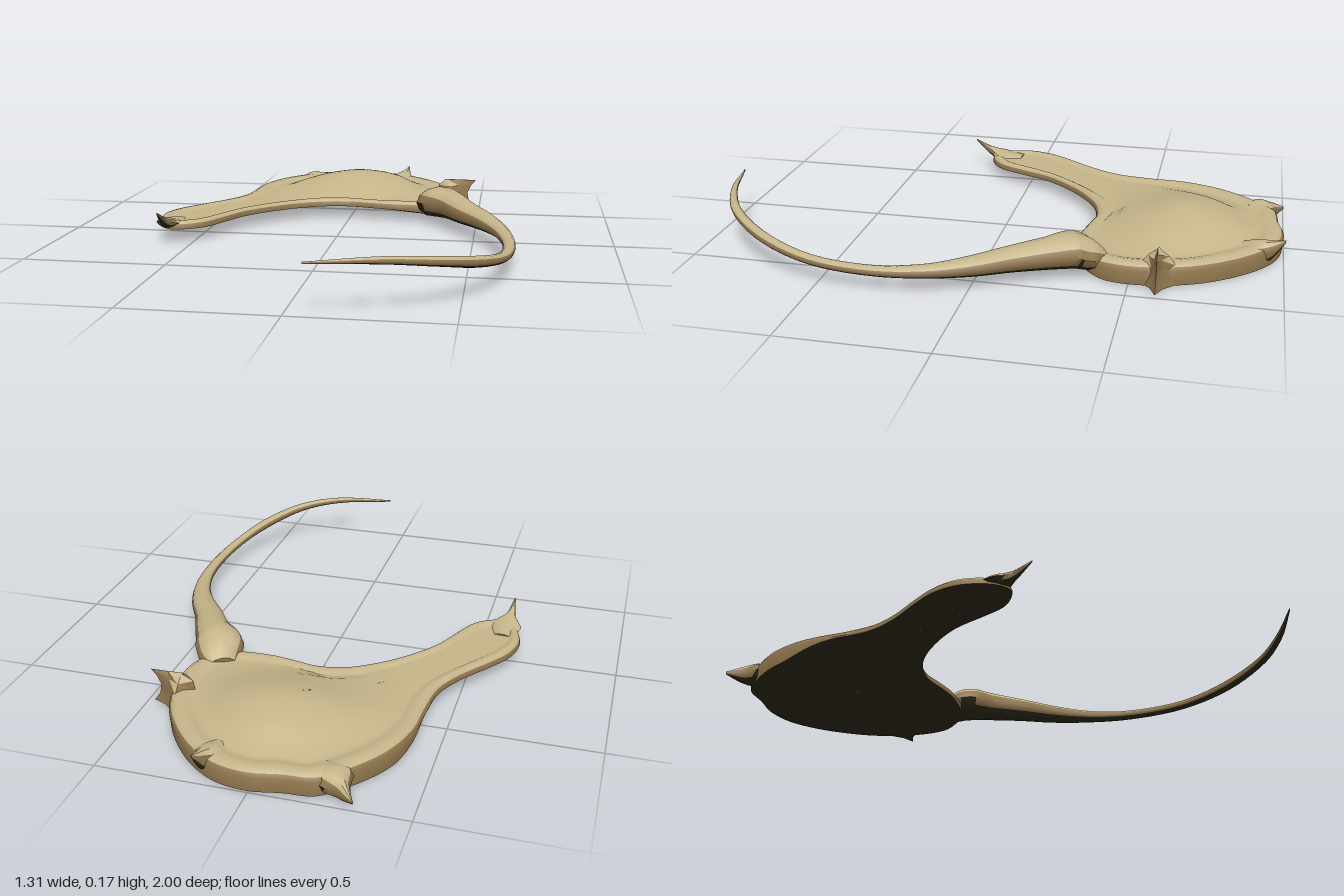
import * as THREE from 'three';
import { toCreasedNormals } from 'three/addons/utils/BufferGeometryUtils.js';

const V = (x, y, z) => new THREE.Vector3(x, y, z);

// Skin over a list of closed rings, all with the same number of points.
// Faces are grouped into top (0), flank (1) and underside (2) for colouring.
function skin(rings, crease) {
  const n = rings[0].length, points = rings.flat();
  const groups = [[], [], []];
  const face = new THREE.Triangle(), normal = V(0, 0, 0);
  const addFace = (a, b, c) => {
    face.set(points[a], points[b], points[c]);
    if (face.getArea() < 1e-10) return;
    const up = face.getNormal(normal).y;
    groups[up > 0.5 ? 0 : up > -0.35 ? 1 : 2].push(a, b, c);
  };
  for (let k = 0; k < rings.length - 1; k++) {
    for (let i = 0; i < n; i++) {
      const j = (i + 1) % n, a = k * n, b = a + n;
      addFace(a + i, a + j, b + i);
      addFace(a + j, b + j, b + i);
    }
  }
  const geo = new THREE.BufferGeometry().setFromPoints(points);
  geo.setIndex(groups.flat());
  let start = 0;
  groups.forEach((g, m) => {
    geo.addGroup(start, g.length, m);
    start += g.length;
  });
  // Enlarged while creasing so that small details are not welded together
  geo.scale(100, 100, 100);
  const out = toCreasedNormals(geo, crease);
  out.scale(0.01, 0.01, 0.01);
  return out;
}

// Loft through stations [x, z, half width, low y, high y]
function loft(stations, sides, steps, crease) {
  const path = new THREE.CatmullRomCurve3(stations.map(([x, z, , lo, hi]) => V(x, (lo + hi) / 2, z)));
  const size = new THREE.CatmullRomCurve3(stations.map(([, , w, lo, hi]) => V(w, (hi - lo) / 2, 0)));
  const rings = [];
  for (let k = 0; k <= steps; k++) {
    const t = k / steps, c = path.getPoint(t), r = size.getPoint(t), d = path.getTangent(t);
    const side = V(d.z, 0, -d.x).normalize();
    const ring = [];
    for (let i = 0; i < sides; i++) {
      const a = (i / sides) * Math.PI * 2;
      ring.push(c.clone().addScaledVector(side, Math.cos(a) * r.x).add(V(0, Math.sin(a) * r.y, 0)));
    }
    const cap = ring.map(() => c.clone());
    if (k === 0) rings.push(cap);
    rings.push(ring);
    if (k === steps) rings.push(cap);
  }
  return skin(rings, crease);
}

// Outline of the plate, clockwise from the rear, as [x, z]
const outline = [
  [0, -0.998], [0.1, -0.985], [0.18, -0.945], [0.27, -0.865], [0.36, -0.74], [0.405, -0.62],
  [0.42, -0.5], [0.4, -0.4], [0.34, -0.325], [0.2, -0.3], [0.1, -0.312], [0, -0.33],
  [-0.1, -0.315], [-0.2, -0.26], [-0.3, -0.17], [-0.37, -0.08], [-0.42, 0.03], [-0.465, 0.12],
  [-0.52, 0.165], [-0.575, 0.18], [-0.625, 0.14], [-0.655, 0.04], [-0.635, -0.06], [-0.575, -0.155],
  [-0.495, -0.265], [-0.445, -0.37], [-0.43, -0.5], [-0.42, -0.64], [-0.37, -0.78], [-0.28, -0.9],
  [-0.2, -0.968], [-0.1, -0.98],
];
// Middle line that the plate's rings shrink towards
const spine = [[0, -0.65], [-0.2, -0.45], [-0.36, -0.25], [-0.48, -0.08], [-0.555, 0.05]];

// The underside rises towards the front and the long lobe
const lift = (x, z) => 0.045 * THREE.MathUtils.smoothstep(z - 0.4 * x, -0.6, -0.33);
const dome = (x, z) => 0.071 * Math.exp(-((x / 0.25) ** 2) - ((z + 0.65) / (z > -0.65 ? 0.2 : 0.23)) ** 2);

function plateGeometry() {
  const edge = new THREE.CatmullRomCurve3(outline.map(([x, z]) => V(x, 0, z)), true).getPoints(128).slice(0, -1);
  const middle = new THREE.CatmullRomCurve3(spine.map(([x, z]) => V(x, 0, z))).getPoints(40);
  const target = edge.map((p) => middle.reduce((a, b) => (b.distanceTo(p) < a.distanceTo(p) ? b : a)));
  const rimWidth = edge.map((p, i) => Math.min(0.08, 0.4 * p.distanceTo(target[i])) / p.distanceTo(target[i]));
  const ringAt = (fraction, height) => edge.map((p, i) => {
    const q = p.clone().lerp(target[i], fraction(i));
    q.y = height(q);
    return q;
  });
  const rings = [];
  // Domed inside
  for (const s of [1, 0.88, 0.75, 0.62, 0.5, 0.38, 0.26, 0.14, 0.05]) {
    const blend = Math.min(1, s * 2.5);
    rings.push(ringAt((i) => rimWidth[i] + (1 - rimWidth[i]) * s, (q) => 0.064 + blend * dome(q.x, q.z)));
  }
  // Softly rounded rim and its outer wall
  for (const [s, y] of [[1, 0.064], [0.82, 0.069], [0.55, 0.074], [0.3, 0.072], [0.1, 0.064], [0, 0.05]]) {
    rings.push(ringAt((i) => rimWidth[i] * s, () => y));
  }
  // Underside
  for (const s of [0.01, 0.08, 0.15, 0.3, 0.5, 0.75, 1]) rings.push(ringAt(() => s, (q) => lift(q.x, q.z)));
  return skin(rings, 0.7);
}

// Upright star-shaped horn on the side, as levels [y, tip x, half width, base x, back x]
function sideHornGeometry() {
  const levels = [
    [0, 0.48, 0.06, 0.39, 0.34], [0.03, 0.458, 0.06, 0.385, 0.335], [0.065, 0.452, 0.058, 0.378, 0.33],
    [0.095, 0.466, 0.035, 0.375, 0.335], [0.118, 0.485, 0.004, 0.375, 0.36],
  ];
  const z = -0.594;
  const rings = levels.map(([y, tip, w, base, back]) => {
    const mid = base + (tip - base) * 0.45;
    return [V(base, y, z + w), V(mid, y, z + w * 0.35), V(tip, y, z), V(mid, y, z - w * 0.35), V(base, y, z - w), V(back, y, z)];
  });
  const cap = (y) => Array.from({ length: 6 }, () => V(0.39, y, z));
  return skin([cap(0), ...rings, cap(0.119)], 0.5);
}

// Long curved tail, from its thick root to the tip
const tail = [
  [0.31, -0.4, 0.05, 0.02, 0.08], [0.335, -0.36, 0.075, 0.01, 0.12], [0.355, -0.31, 0.085, 0.02, 0.14],
  [0.41, -0.23, 0.065, 0.03, 0.135], [0.47, -0.12, 0.053, 0.035, 0.12], [0.545, 0, 0.042, 0.04, 0.105],
  [0.6, 0.13, 0.03, 0.045, 0.09], [0.63, 0.3, 0.022, 0.048, 0.083], [0.615, 0.52, 0.02, 0.06, 0.093],
  [0.545, 0.71, 0.02, 0.088, 0.125], [0.425, 0.86, 0.017, 0.125, 0.156], [0.28, 0.94, 0.012, 0.146, 0.17],
  [0.06, 1, 0.002, 0.153, 0.16],
];

// Pointed horns around the rim; the rear right one droops
const horns = {
  rearLeftHorn: [[0.14, -0.86, 0.03, 0.03, 0.07], [0.15, -0.91, 0.055, 0, 0.084], [0.162, -0.955, 0.025, 0.02, 0.09], [0.172, -1, 0.002, 0.09, 0.1]],
  rearRightHorn: [[-0.215, -0.87, 0.03, 0.03, 0.07], [-0.245, -0.915, 0.06, 0, 0.08], [-0.28, -0.955, 0.025, 0, 0.062], [-0.322, -1, 0.002, 0.022, 0.032]],
  frontHorn: [[-0.585, 0.06, 0.03, 0.05, 0.07], [-0.59, 0.14, 0.055, 0.045, 0.08], [-0.597, 0.195, 0.018, 0.06, 0.095], [-0.602, 0.26, 0.002, 0.116, 0.122]],
};

export function createModel() {
  const group = new THREE.Group();
  const materials = [['sand', 0xc5b58a], ['brown flank', 0x8f764e], ['dark underside', 0x2e2919]].map(([name, color]) => {
    const material = new THREE.MeshStandardMaterial({ color });
    material.name = name;
    return material;
  });
  const add = (name, geometry) => {
    const mesh = new THREE.Mesh(geometry, materials);
    mesh.name = name;
    group.add(mesh);
  };
  add('plate', plateGeometry());
  add('sideHorn', sideHornGeometry());
  add('tail', loft(tail, 12, 60, 0.7));
  for (const [name, stations] of Object.entries(horns)) add(name, loft(stations, 10, 12, 0.6));
  return group;
}
